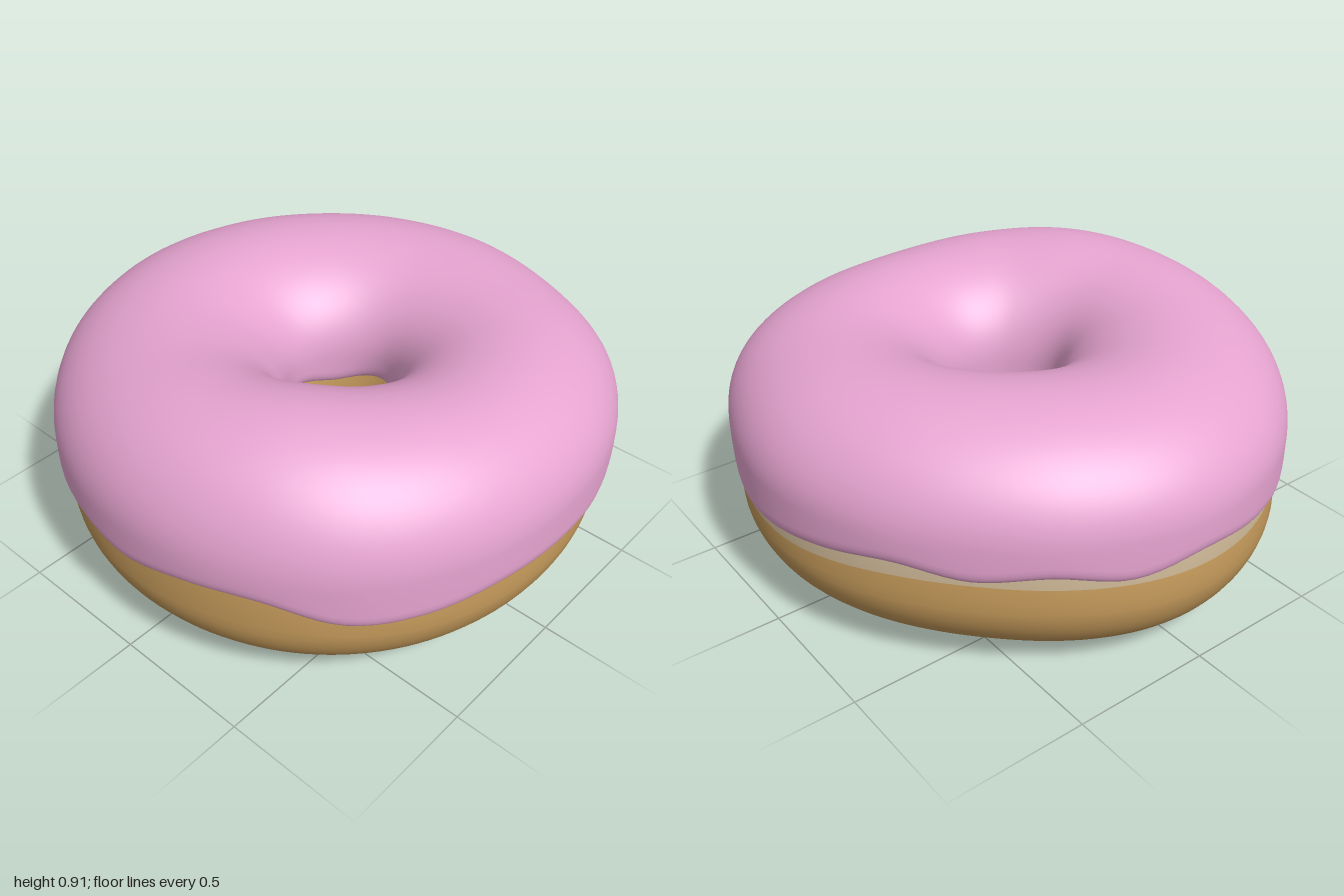
import * as THREE from 'three';

const icingPink = new THREE.MeshStandardMaterial({ name: 'icingPink', color: 0xe6a4d0 });
const doughBrown = new THREE.MeshStandardMaterial({ name: 'doughBrown', color: 0xc19759 });
const paleDough = new THREE.MeshStandardMaterial({ name: 'paleDough', color: 0xc6b191 });

const SEG = 144;
const HOLE_X = 0.05;

// Smooth closed interpolation of evenly spaced samples around the ring
function around(samples) {
  const n = samples.length;
  return (u) => {
    const f = (u / (Math.PI * 2)) * n, i = Math.floor(f), t = f - i;
    const [a, b, c, d] = [-1, 0, 1, 2].map((k) => samples[(i + k + n) % n]);
    return b + 0.5 * t * (c - a + t * (2 * a - 5 * b + 4 * c - d + t * (3 * (b - c) + d - a)));
  };
}

// Ring shape: angle runs from +x towards +z
const icingRadius = around([
  0.995, 1.0, 1.01, 0.995, 0.983, 0.975, 0.97, 0.985,
  0.995, 0.975, 0.957, 0.967, 0.99, 0.998, 1.025, 1.015]);
const doughRadius = around([0.967, 0.975, 0.955, 0.945, 0.998, 0.93, 0.97, 0.985]);
const icingHole = around([0.2, 0.205, 0.225, 0.19, 0.2, 0.205, 0.22, 0.21]);
const dripEdge = around([
  0.385, 0.39, 0.37, 0.375, 0.445, 0.44, 0.4, 0.41, 0.4, 0.43, 0.38, 0.395,
  0.42, 0.39, 0.43, 0.41, 0.44, 0.41, 0.38, 0.37, 0.435, 0.365, 0.425, 0.385]);
const innerEdge = around([0.44, 0.4, 0.42, 0.39, 0.44, 0.42, 0.46, 0.43]);
const bandEdge = around([
  0.382, 0.385, 0.432, 0.4, 0.375, 0.37, 0.375, 0.38, 0.378, 0.345, 0.343, 0.357]);
const topHeight = around([
  0.85, 0.885, 0.91, 0.89, 0.86, 0.845, 0.85, 0.86, 0.86, 0.85, 0.838, 0.84]);
const bottomHeight = around([0.03, 0.03, 0.025, 0.018, 0, 0.018, 0.025, 0.03]);

// Sweeps section(u), a list of [s, y] with s = 0 at the hole and 1 outside
function ringGeometry(section, radius, hole, closed) {
  const pos = [], index = [];
  let rows = 0;
  for (let i = 0; i < SEG; i++) {
    const u = (i / SEG) * Math.PI * 2;
    const pts = section(u);
    rows = pts.length;
    for (const [s, y] of pts) {
      const r = hole(u) * (1 - s) + radius(u) * s;
      pos.push(HOLE_X * (1 - s) + r * Math.cos(u), y, r * Math.sin(u));
    }
  }
  const bands = closed ? rows : rows - 1;
  for (let j = 0; j < bands; j++) {
    const k = (j + 1) % rows;
    for (let i = 0; i < SEG; i++) {
      const a = i * rows, b = ((i + 1) % SEG) * rows;
      index.push(a + j, a + k, b + j, b + j, a + k, b + k);
    }
  }
  const geo = new THREE.BufferGeometry();
  geo.setAttribute('position', new THREE.Float32BufferAttribute(pos, 3));
  geo.setIndex(index);
  geo.computeVertexNormals();
  return geo;
}

// Dough: squashed ring, pale above the baked line
const PALE_ROWS = 24, BROWN_ROWS = 36;
function doughSection(u) {
  const yc = 0.3, up = topHeight(u) - 0.045 - yc, down = yc - bottomHeight(u);
  const start = Math.asin((bandEdge(u) - yc) / up);
  const inner = Math.PI - 0.3;
  const pts = [];
  for (let j = 0; j < PALE_ROWS + BROWN_ROWS; j++) {
    const v = j < PALE_ROWS
      ? start + (inner - start) * (j / PALE_ROWS)
      : inner + (Math.PI * 2 + start - inner) * ((j - PALE_ROWS) / BROWN_ROWS);
    const c = Math.cos(v), s = Math.sin(v);
    if (s >= 0) pts.push([0.5 + 0.5 * c * (1 - 0.06 * s), yc + up * s]);
    else pts.push([0.5 + 0.5 * c, yc + down * s]);
  }
  return pts;
}

// Icing: rolled-under lip, outer wall, domed top, inner wall, inner lip
function icingSection(u) {
  const yc = 0.53, width = icingRadius(u) - icingHole(u);
  const lip = (edge) => {
    const pts = [[0.085, edge + 0.03], [0.05, edge + 0.006]];
    for (let k = 0; k <= 5; k++) {
      const a = (k / 5) * Math.PI / 2;
      pts.push([0.022 * (1 - Math.sin(a)), edge + 0.05 * (1 - Math.cos(a))]);
    }
    pts.push([0, (edge + 0.05 + yc) / 2]);
    return pts.map(([d, y]) => [d / width, y]);
  };
  const pts = lip(dripEdge(u)).map(([d, y]) => [1 - d, y]);
  for (let k = 0; k <= 36; k++) {
    const v = (k / 36) * Math.PI;
    pts.push([0.5 + 0.5 * Math.cos(v), yc + (topHeight(u) - yc) * Math.sin(v)]);
  }
  return pts.concat(lip(innerEdge(u)).reverse());
}

export function createModel() {
  const group = new THREE.Group();
  group.name = 'donut';

  const doughGeo = ringGeometry(doughSection, doughRadius, (u) => icingHole(u) + 0.025, true);
  doughGeo.addGroup(0, PALE_ROWS * SEG * 6, 0);
  doughGeo.addGroup(PALE_ROWS * SEG * 6, BROWN_ROWS * SEG * 6, 1);
  const dough = new THREE.Mesh(doughGeo, [paleDough, doughBrown]);
  dough.name = 'dough';

  const icing = new THREE.Mesh(ringGeometry(icingSection, icingRadius, icingHole, false), icingPink);
  icing.name = 'icing';

  group.add(dough, icing);
  return group;
}
